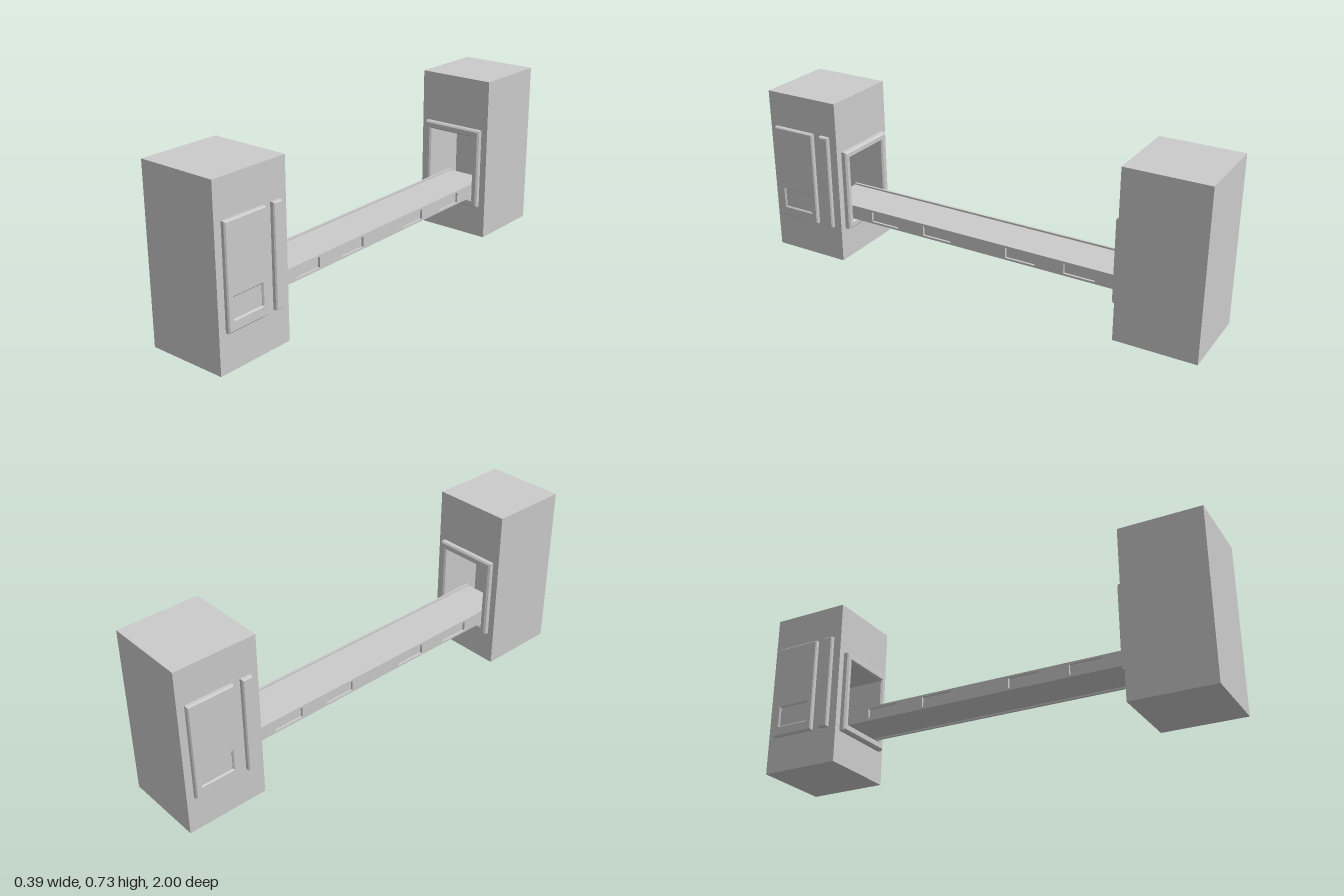
import * as THREE from 'three';

const material = new THREE.MeshStandardMaterial({ color: 0xcccccc, flatShading: true });

function add(parent, name, geometry, x = 0, y = 0, z = 0, turn = 0) {
  const mesh = new THREE.Mesh(geometry, material);
  mesh.name = name;
  mesh.position.set(x, y, z);
  mesh.rotation.y = turn;
  parent.add(mesh);
  return mesh;
}

const box = (w, h, d) => new THREE.BoxGeometry(w, h, d);

function rect(target, cx, cy, w, h) {
  target.moveTo(cx - w / 2, cy - h / 2);
  target.lineTo(cx + w / 2, cy - h / 2);
  target.lineTo(cx + w / 2, cy + h / 2);
  target.lineTo(cx - w / 2, cy + h / 2);
  target.closePath();
  return target;
}

// Upright plate running from z = 0 to z = d; holes are [cx, cy, w, h], bevel chamfers its rims
function plate(w, h, d, holes = [], bevel = 0) {
  const shape = rect(new THREE.Shape(), 0, 0, w - 2 * bevel, h - 2 * bevel);
  for (const [cx, cy, hw, hh] of holes) {
    shape.holes.push(rect(new THREE.Path(), cx, cy, hw + 2 * bevel, hh + 2 * bevel));
  }
  const geometry = new THREE.ExtrudeGeometry(shape, {
    depth: d - 2 * bevel,
    bevelEnabled: bevel > 0,
    bevelSize: bevel,
    bevelThickness: bevel,
    bevelSegments: 1,
  });
  return geometry.translate(0, 0, bevel);
}

// Tower at the +z end, with its doorway facing the middle
function createTower() {
  const tower = new THREE.Group();
  tower.name = 'tower';
  const height = 0.73, side = Math.PI / 2;
  const doorY = 0.325, doorW = 0.23, doorH = 0.295;

  // hollow front half and solid back half
  add(tower, 'towerFront', plate(0.35, height, 0.19, [[0, doorY - height / 2, doorW, doorH]]), 0, height / 2, 0.65);
  add(tower, 'towerBack', box(0.35, height, 0.16), 0, height / 2, 0.92);

  // raised doorway surround
  add(tower, 'doorFrame', plate(0.29, 0.36, 0.032, [[0, 0, doorW, doorH]], 0.007), 0, doorY, 0.657, Math.PI);

  // side panel with a small sunken window, and the narrow strip beside it
  const panelY = 0.367, windowY = 0.247;
  add(tower, 'sidePanel', plate(0.2, 0.418, 0.025, [[0, windowY - panelY, 0.14, 0.085]], 0.005), 0.168, panelY, 0.868, side);
  add(tower, 'panelWindow', box(0.02, 0.1, 0.155), 0.176, windowY, 0.868);
  add(tower, 'sideStrip', plate(0.045, 0.418, 0.025, [], 0.005), 0.168, panelY, 0.708, side);
  return tower;
}

// Walkway with slotted rails standing slightly proud of the deck above and below
function createBridge() {
  const bridge = new THREE.Group();
  bridge.name = 'bridge';
  const length = 1.55, midY = 0.212;
  add(bridge, 'deck', box(0.19, 0.048, length), 0, midY, 0);
  const slots = [-0.465, -0.2, 0.2, 0.465].map((z) => [z, 0, 0.137, 0.045]);
  for (const s of [1, -1]) {
    add(bridge, 'sideRail', plate(length, 0.063, 0.01, slots), s * 0.095, midY, 0, s * Math.PI / 2);
  }
  return bridge;
}

export function createModel() {
  const model = new THREE.Group();
  model.name = 'towerBridge';
  model.add(createBridge());
  for (const turn of [0, Math.PI]) {
    const tower = createTower();
    tower.rotation.y = turn;
    model.add(tower);
  }
  return model;
}
